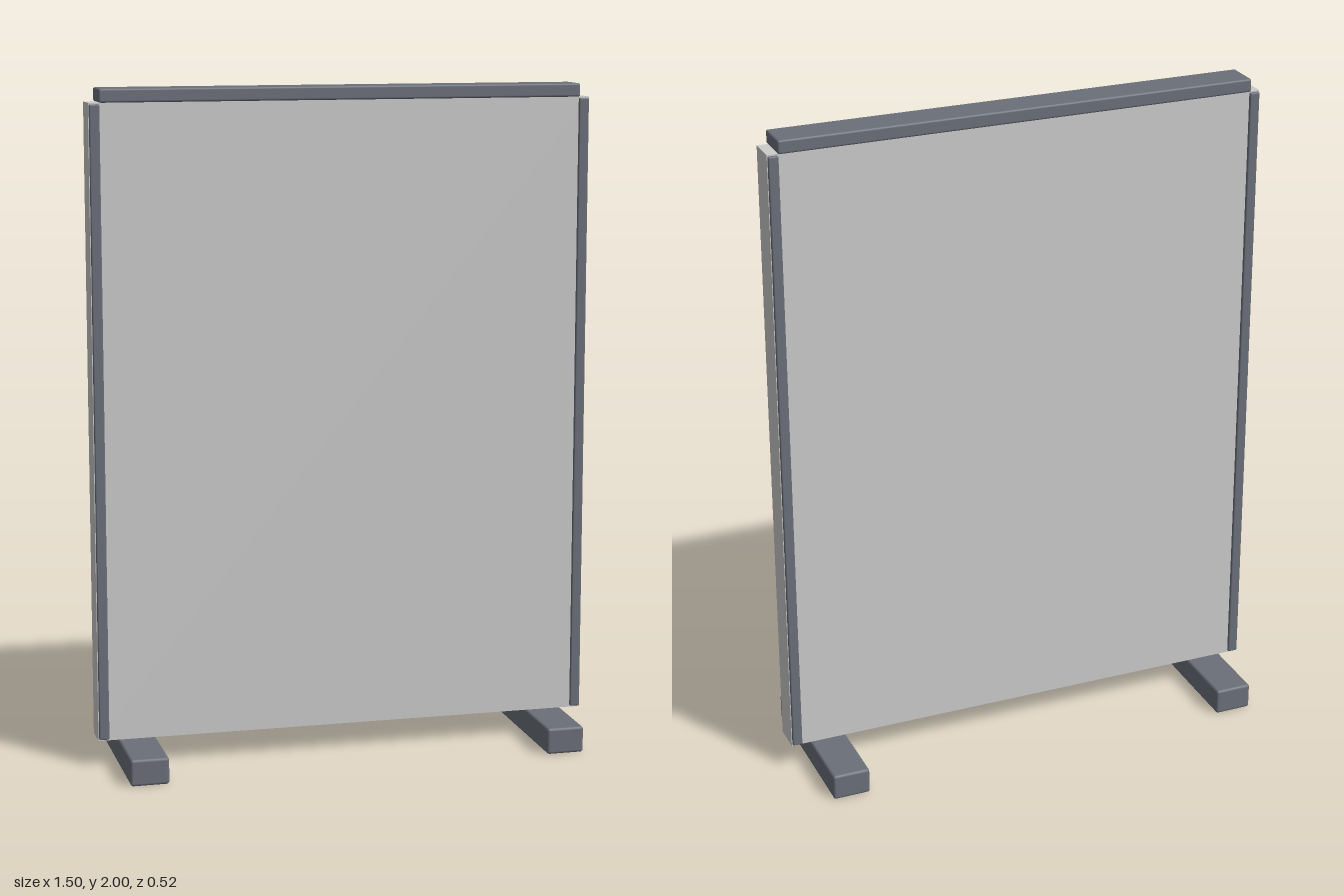
import * as THREE from 'three';
import { RoundedBoxGeometry } from 'three/addons/geometries/RoundedBoxGeometry.js';

const panelGrey = new THREE.MeshStandardMaterial({ color: 0xcccccc });
const frameGrey = new THREE.MeshStandardMaterial({ color: 0x6b6f79 });

// Mesh with its centre at (x, y, z)
function addPart(parent, name, geometry, material, x, y, z) {
  const mesh = new THREE.Mesh(geometry, material);
  mesh.name = name;
  mesh.position.set(x, y, z);
  parent.add(mesh);
}

export function createModel() {
  const model = new THREE.Group();
  model.name = 'partitionScreen';

  // Flat screen panel
  addPart(model, 'panel', new THREE.BoxGeometry(1.504, 1.88, 0.09), panelGrey, 0, 1.02, 0);

  // Cap rail along the top, slightly shorter than the panel
  addPart(model, 'topRail', new RoundedBoxGeometry(1.444, 0.04, 0.108, 2, 0.006), frameGrey, 0, 1.98, 0);

  const stripGeometry = new RoundedBoxGeometry(0.03, 1.872, 0.016, 2, 0.004);
  const footGeometry = new RoundedBoxGeometry(0.114, 0.076, 0.516, 2, 0.008);

  for (const [side, sx] of [['left', 1], ['right', -1]]) {
    // Edge strips on both faces of the panel
    for (const [face, sz] of [['Front', 1], ['Back', -1]]) {
      addPart(model, `${side}${face}Strip`, stripGeometry, frameGrey, sx * 0.735, 1.02, sz * 0.046);
    }
    // Crosswise foot
    addPart(model, `${side}Foot`, footGeometry, frameGrey, sx * 0.635, 0.042, 0);
  }

  // Drop the feet onto the ground
  model.children.filter((m) => m.name.endsWith('Foot')).forEach((m) => {
    m.scale.y = 0.08 / 0.076;
    m.position.y = 0.04;
  });

  return model;
}
